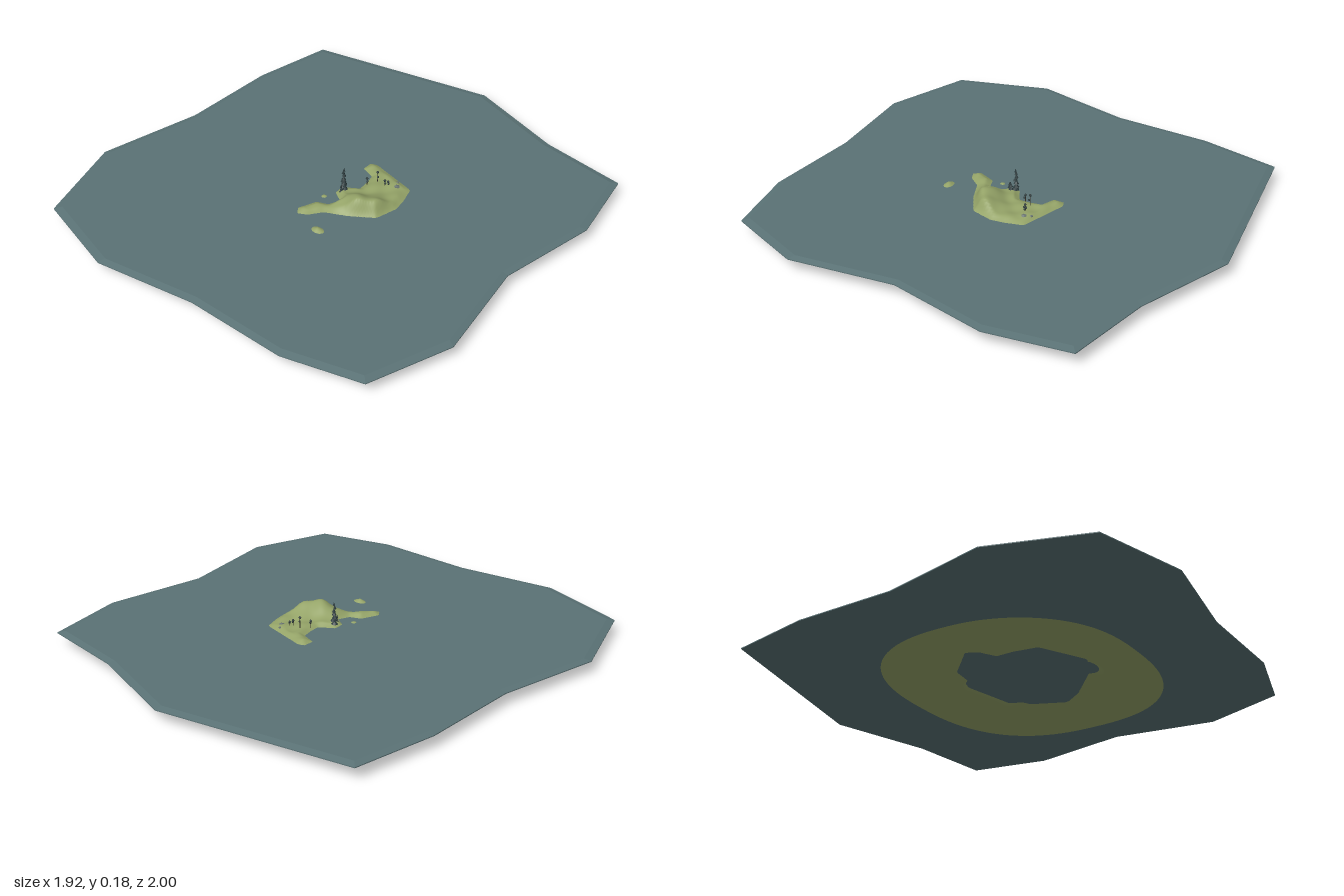
import * as THREE from 'three';
import { mergeVertices } from 'three/addons/utils/BufferGeometryUtils.js';

const mat = (name, color, extra = {}) => {
  const m = new THREE.MeshStandardMaterial({ color, ...extra });
  m.name = name;
  return m;
};

// Outlines as [x, z]
const SEA = [[-0.8, -0.82], [0.05, -1], [0.5, -0.86], [0.89, -0.81], [0.96, -0.45], [0.88, 0], [0.96, 0.465],
  [0.835, 0.825], [0.5, 0.92], [0.045, 0.92], [-0.41, 0.995], [-0.815, 0.88], [-0.96, 0.465], [-0.865, 0], [-0.865, -0.45]];
const LAND = [[0, -0.22], [0.03, -0.23], [0.16, -0.2], [0.25, -0.18], [0.275, -0.1], [0.285, -0.04], [0.26, 0.06],
  [0.16, 0.13], [0.07, 0.175], [0.03, 0.23], [-0.01, 0.25], [-0.03, 0.22], [0, 0.14], [0.05, 0.12], [0.07, 0.07],
  [0.02, 0.04], [0.015, -0.01], [0.08, -0.05], [0.075, -0.1], [0.065, -0.15], [0, -0.17]];
const SHELF = [[0.4, 0.02], [0.33, -0.13], [0.2, -0.2], [0.05, -0.23], [-0.13, -0.21], [-0.27, -0.07], [-0.24, -0.02],
  [-0.17, 0.02], [-0.17, 0.1], [-0.15, 0.21], [0.06, 0.32], [0.19, 0.25], [0.34, 0.11]];

// Signed distance to a polygon, positive inside
function inside(poly, x, z) {
  let d = Infinity, sign = -1;
  poly.forEach(([ax, az], i) => {
    const [bx, bz] = poly[(i + 1) % poly.length];
    const ex = bx - ax, ez = bz - az;
    const t = THREE.MathUtils.clamp(((x - ax) * ex + (z - az) * ez) / (ex * ex + ez * ez), 0, 1);
    d = Math.min(d, Math.hypot(x - ax - ex * t, z - az - ez * t));
    if ((az > z) !== (bz > z) && x < ax + (ex * (z - az)) / ez) sign = -sign;
  });
  return sign * d;
}

const bump = (x, z, cx, cz, r) => Math.exp(-((x - cx) ** 2 + (z - cz) ** 2) / (r * r));

// Ground height; s is 0 at the centre and 1 at the rim
function groundHeight(x, z, s, angle) {
  const rimY = 0.015 - 0.015 * Math.max(0, Math.cos(angle - 2.55)) ** 8;
  const out = -inside(SHELF, x, z);
  let base = 0.061;
  if (out > 0) {
    const t = out / (out + (1 - s) * 0.58);
    base = THREE.MathUtils.lerp(0.055, rimY, t ** 0.85);
  } else base = 0.055 + Math.min(0.006, -out * 0.3);

  const islets = Math.max(0.023 - Math.hypot((x - 0.13) * 0.8, (z - 0.28) * 1.2), 0.012 - Math.hypot(x, z - 0.09));
  const d = Math.max(inside(LAND, x, z), islets);
  let land = 0.0692 + d * 0.5;
  if (d > 0) {
    const hills = 0.05 * bump(x, z, 0.17, 0.065, 0.06) + 0.03 * bump(x, z, 0.235, 0.01, 0.05)
      + 0.014 * bump(x, z, 0.09, 0.06, 0.05) + 0.004 * Math.sin(x * 60) * Math.sin(z * 50);
    land = 0.0692 + Math.min(d * 0.5, 0.012) + hills * Math.min(1, d / 0.03);
  }
  return Math.max(base, land);
}

function buildGround() {
  const g = new THREE.RingGeometry(0, 1, 128, 72).rotateX(-Math.PI / 2);
  const p = g.attributes.position;
  for (let i = 0; i < p.count; i++) {
    const s = Math.hypot(p.getX(i), p.getZ(i));
    const a = Math.atan2(p.getZ(i), p.getX(i));
    const c = Math.cos(a), n = Math.sin(a);
    // rounded-square rim
    const k = s / (Math.abs(c / 0.605) ** 2.5 + Math.abs(n / 0.54) ** 2.5) ** 0.4;
    const x = 0.025 + c * k, z = 0.03 + n * k;
    p.setXYZ(i, x, groundHeight(x, z, s, a), z);
  }
  g.deleteAttribute('uv');
  g.deleteAttribute('normal');
  const merged = mergeVertices(g, 1e-5);
  merged.computeVertexNormals();
  return merged;
}

// Bevelled slab lofted from scaled copies of the outline
function buildSea() {
  const rings = [[0, 0.055], [1, 0.055], [1, 0.059], [0.97, 0.066], [0, 0.07]];
  const v = [];
  const put = ([scale, y], i) => {
    const [x, z] = SEA[i % SEA.length];
    v.push(x * scale, y, z * scale);
  };
  for (let k = 0; k < rings.length - 1; k++) {
    const a = rings[k], b = rings[k + 1];
    for (let i = 0; i < SEA.length; i++) {
      if (b[0] > 0) { put(a, i); put(b, i); put(b, i + 1); }
      if (a[0] > 0) { put(a, i); put(b, i + 1); put(a, i + 1); }
    }
  }
  const g = new THREE.BufferGeometry();
  g.setAttribute('position', new THREE.Float32BufferAttribute(v, 3));
  g.computeVertexNormals();
  return g;
}

export function createModel() {
  const model = new THREE.Group();
  model.name = 'island';
  const grass = mat('grass', 0x95a468, { side: THREE.DoubleSide });
  const water = mat('water', 0x5a7275);
  const needles = mat('needles', 0x2c3b3d, { flatShading: true });
  const bark = mat('bark', 0x3d382f);
  const stone = mat('stone', 0x6b7672, { flatShading: true });

  const add = (parent, name, geo, material, x = 0, y = 0, z = 0) => {
    const m = new THREE.Mesh(geo, material);
    m.name = name;
    m.position.set(x, y, z);
    parent.add(m);
    return m;
  };
  add(model, 'ground', buildGround(), grass);
  add(model, 'sea', buildSea(), water);

  // Conifers with shrinking, slightly offset tiers
  const conifer = (x, y, z, h, r, tiers) => {
    const tree = new THREE.Group();
    tree.name = 'conifer';
    tree.position.set(x, y, z);
    add(tree, 'trunk', new THREE.CylinderGeometry(r * 0.08, r * 0.18, h * 0.9, 5), bark, 0, h * 0.45, 0);
    for (let i = 0; i < tiers; i++) {
      const t = i / tiers, th = (h * 1.1) / tiers;
      const tier = add(tree, 'branches', new THREE.ConeGeometry(r * (1 - t * 0.8), th, 6), needles,
        Math.sin(i * 2.3) * r * 0.15, h * (0.12 + 0.88 * t) + th * 0.4, Math.cos(i * 2.3) * r * 0.15);
      tier.rotation.y = i * 0.7;
    }
    model.add(tree);
  };
  conifer(0.032, 0.07, 0.0, 0.113, 0.016, 7);
  conifer(0.05, 0.073, 0.014, 0.05, 0.013, 4);
  conifer(0.042, 0.073, 0.028, 0.04, 0.01, 3);

  // Thin saplings with small crowns
  [[0.115, -0.125, 0.06], [0.09, -0.085, 0.038], [0.155, -0.125, 0.035], [0.165, -0.135, 0.028]].forEach(([x, z, h]) => {
    const sapling = new THREE.Group();
    sapling.name = 'sapling';
    sapling.position.set(x, 0.076, z);
    add(sapling, 'trunk', new THREE.CylinderGeometry(0.001, 0.0015, h, 5), bark, 0, h / 2, 0);
    add(sapling, 'crown', new THREE.IcosahedronGeometry(0.006, 0), needles, 0, h - 0.006, 0);
    add(sapling, 'lowerCrown', new THREE.IcosahedronGeometry(0.005, 0), needles, 0.005, h * 0.55, 0.003);
    model.add(sapling);
  });

  // Low rocks
  [[0.2, -0.15, 0.014], [0.185, -0.175, 0.008], [0.065, 0.0, 0.009]].forEach(([x, z, r]) => {
    add(model, 'rock', new THREE.DodecahedronGeometry(r, 0), stone, x, 0.08, z).scale.y = 0.5;
  });
  return model;
}
